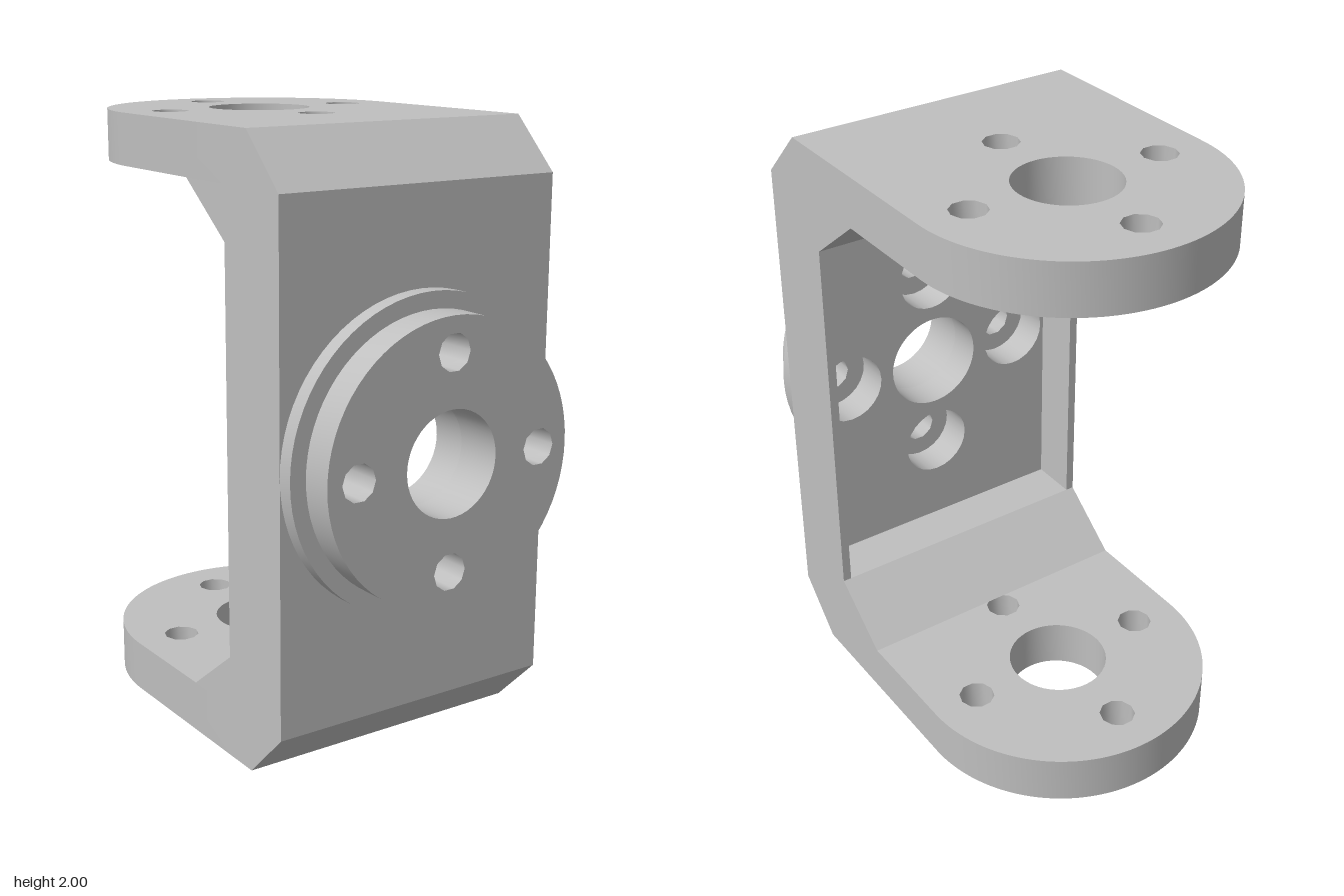
import * as THREE from 'three';
import { mergeVertices, mergeGeometries, toCreasedNormals } from 'three/addons/utils/BufferGeometryUtils.js';

const HALF = 0.51;      // half width of the bracket
const THICK = 0.17;     // arm thickness
const BOLT_RING = 0.343;
const MID = 1.005;      // height of the hub axis

// Round outline or hole, as a polygon
function ring(Type, x, y, r, sides) {
  const points = [];
  for (let i = 0; i < sides; i++) {
    const a = (i / sides) * Math.PI * 2;
    points.push(new THREE.Vector2(x + r * Math.cos(a), y + r * Math.sin(a)));
  }
  return new Type(points);
}

function polygon(Type, pairs) {
  return new Type(pairs.map(([x, y]) => new THREE.Vector2(x, y)));
}

function rectangle(Type, w, y0, y1) {
  return polygon(Type, [[-w, y0], [w, y0], [w, y1], [-w, y1]]);
}

// One large centre hole with four bolt holes around it
function drill(shape, y, boltRadius, sides) {
  shape.holes.push(ring(THREE.Path, 0, y, 0.17, 48));
  for (const [dx, dy] of [[1, 0], [0, 1], [-1, 0], [0, -1]]) {
    shape.holes.push(ring(THREE.Path, dx * BOLT_RING, y + dy * BOLT_RING, boltRadius, sides));
  }
  return shape;
}

function extrude(shape, depth) {
  return new THREE.ExtrudeGeometry(shape, { depth, bevelEnabled: false, curveSegments: 32 });
}

// Layer lying in the wall plane, between two depths
function layer(shape, z0, z1) {
  return extrude(shape, z1 - z0).translate(0, 0, z0);
}

// Prism across the full width from a (z, y) section
function prism(section) {
  return extrude(polygon(THREE.Shape, section), HALF * 2).rotateY(-Math.PI / 2).translate(HALF, 0, 0);
}

// Soft shading on round walls, crisp rims
function soften(geometry) {
  geometry.deleteAttribute('uv');
  geometry.deleteAttribute('normal');
  return toCreasedNormals(mergeVertices(geometry, 1e-4), 0.7);
}

export function createModel() {
  const grey = new THREE.MeshStandardMaterial({ color: 0xbfbfbf });
  grey.name = 'plain grey';

  const bracket = new THREE.Group();
  bracket.name = 'bracket';
  const add = (name, geometry) => {
    const mesh = new THREE.Mesh(soften(geometry), grey);
    mesh.name = name;
    bracket.add(mesh);
  };

  // Round-ended arms with bolt holes, above and below
  const arm = new THREE.Shape();
  arm.moveTo(HALF, 0.734);
  arm.lineTo(-HALF, 0.734);
  arm.lineTo(-HALF, 0);
  arm.absarc(0, 0, HALF, Math.PI, Math.PI * 2, false);
  drill(arm, 0, 0.06, 10);
  for (const [name, top] of [['upperArm', 2], ['lowerArm', THICK]]) {
    add(name, extrude(arm, THICK).rotateX(Math.PI / 2).translate(0, top, 0));
  }

  // Sloped outer corners and inner gussets
  for (const [side, flip] of [['upper', (y) => y], ['lower', (y) => 2 - y]]) {
    const section = (pairs) => pairs.map(([z, y]) => [z, flip(y)]);
    add(side + 'Corner', prism(section([[0.734, 1.83], [0.904, 1.83], [0.734, 2]])));
    add(side + 'Gusset', prism(section([[0.39, 1.83], [0.61, 1.66], [0.61, 1.83]])));
  }

  // Wall: thin raised rim at the back, then a slab with wide bolt recesses
  const rim = rectangle(THREE.Shape, HALF, THICK, 2 - THICK);
  rim.holes.push(rectangle(THREE.Path, 0.48, 0.34, 1.66));
  add('wallRim', layer(rim, 0.61, 0.78));
  const slab = drill(rectangle(THREE.Shape, HALF, THICK, 2 - THICK), MID, 0.125, 24);
  add('wall', layer(slab, 0.78, 0.904));

  // Stepped round hub on the front
  const disc = (r) => drill(ring(THREE.Shape, 0, MID, r, 72), MID, 0.06, 10);
  add('hub', mergeGeometries([
    layer(disc(HALF), 0.904, 0.958),
    layer(disc(0.455), 0.958, 1.067),
  ]));

  // The bracket sits slightly turned on its base
  bracket.rotation.y = -0.0885;
  bracket.position.set(0.04, 0, -0.3);

  const model = new THREE.Group();
  model.name = 'mountingBracket';
  model.add(bracket);
  return model;
}
